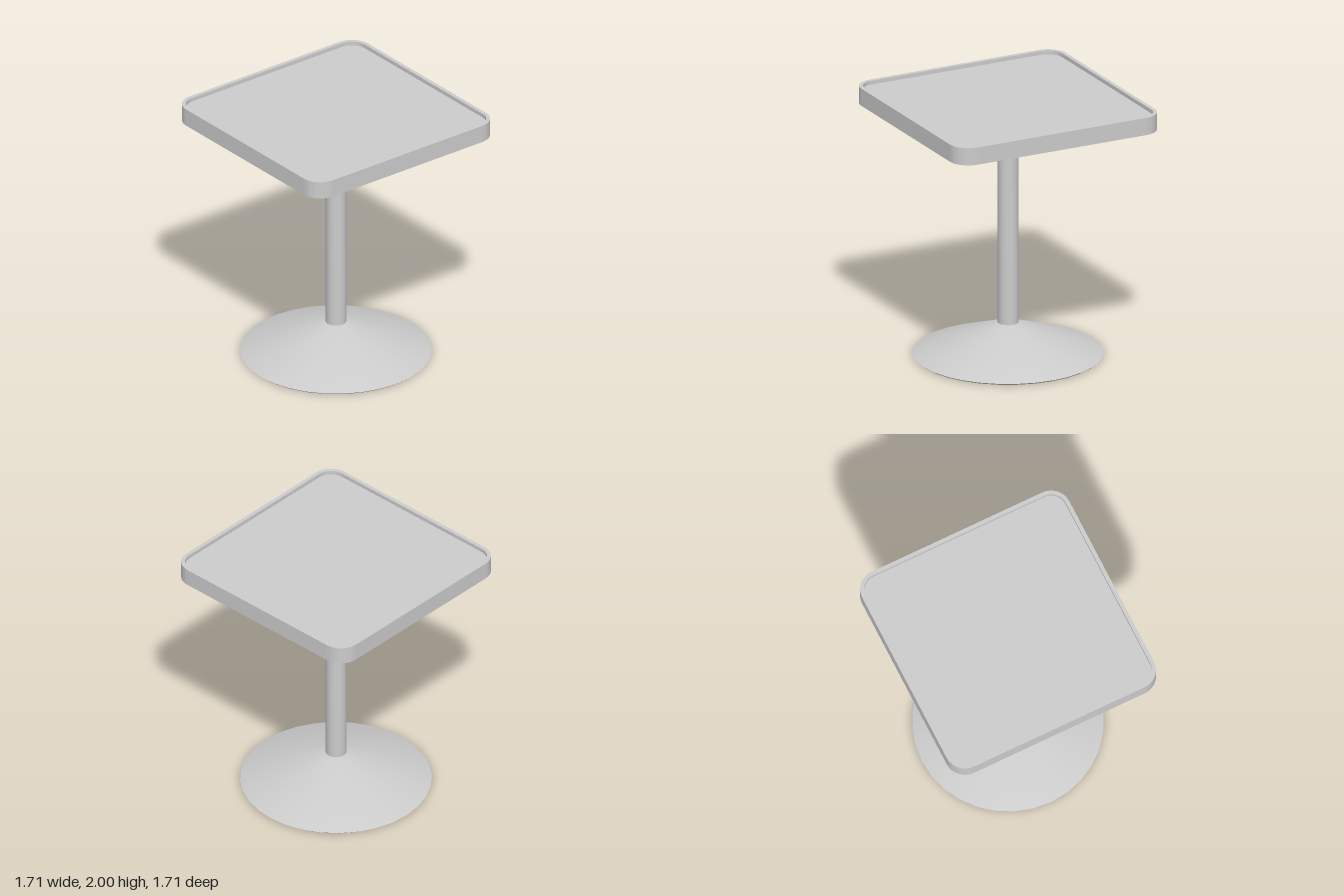
import * as THREE from 'three';
import { toCreasedNormals } from 'three/addons/utils/BufferGeometryUtils.js';

const material = new THREE.MeshStandardMaterial({ color: 0xcccccc });

// Traces a square with rounded corners, centred on the origin
function roundedSquare(path, half, radius) {
  const c = half - radius;
  const corners = [[c, c], [-c, c], [-c, -c], [c, -c]];
  path.moveTo(half, c);
  corners.forEach(([x, y], i) => path.absarc(x, y, radius, i * Math.PI / 2, (i + 1) * Math.PI / 2, false));
  path.closePath();
  return path;
}

export function createModel() {
  const group = new THREE.Group();

  function add(name, geometry) {
    const mesh = new THREE.Mesh(geometry, material);
    mesh.name = name;
    group.add(mesh);
    return mesh;
  }

  // Extrudes a flat shape upwards from y = bottom to y = top
  function slab(name, shape, bottom, top) {
    const geometry = new THREE.ExtrudeGeometry(shape, { depth: top - bottom, bevelEnabled: false, curveSegments: 4 });
    geometry.rotateX(-Math.PI / 2).translate(0, bottom, 0);
    return add(name, geometry);
  }

  function turned(name, points) {
    const profile = points.map(([r, y]) => new THREE.Vector2(r, y));
    return add(name, toCreasedNormals(new THREE.LatheGeometry(profile, 32), 0.4));
  }

  // Table top: a recessed panel surrounded by a thin raised rim
  const outer = [0.855, 0.15], inner = [0.825, 0.12];
  slab('tableTop', roundedSquare(new THREE.Shape(), ...outer), 1.865, 1.97);
  const rim = roundedSquare(new THREE.Shape(), ...outer);
  rim.holes.push(roundedSquare(new THREE.Path(), ...inner));
  slab('tableTopRim', rim, 1.97, 2);

  // Pedestal: collar, column and conical foot with a bevelled lower edge
  turned('collar', [[0, 1.815], [0.125, 1.815], [0.125, 1.865], [0, 1.865]]);
  turned('column', [[0, 0.24], [0.077, 0.24], [0.077, 1.82], [0, 1.82]]);
  turned('base', [[0, 0], [0.695, 0], [0.71, 0.012], [0.077, 0.25], [0, 0.25]]);

  return group;
}
